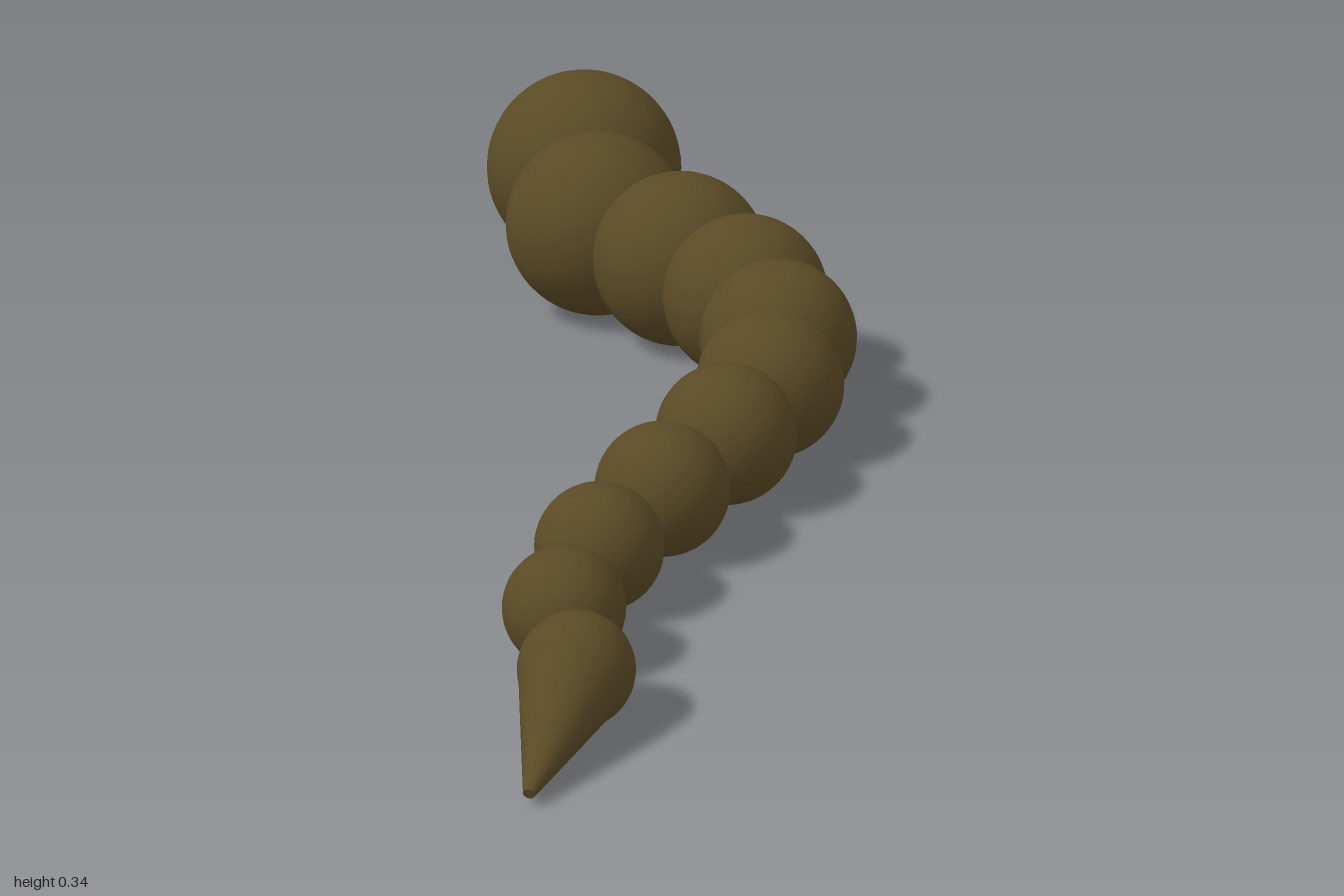
import * as THREE from 'three';

export function createModel() {
  const model = new THREE.Group();
  model.name = 'snake';

  const scales = new THREE.MeshStandardMaterial({ color: 0x5a4a26 });
  scales.name = 'brown scales';
  const red = new THREE.MeshStandardMaterial({ color: 0x8b1e1a });
  red.name = 'tongue red';

  const add = (name, geometry, material, x, y, z, parent = model) => {
    const mesh = new THREE.Mesh(geometry, material);
    mesh.name = name;
    mesh.position.set(x, y, z);
    parent.add(mesh);
    return mesh;
  };
  const ball = (r) => new THREE.SphereGeometry(r, 40, 28);

  // Body: a winding chain of shrinking balls resting on the ground [x, z, radius]
  const body = new THREE.Group();
  body.name = 'body';
  model.add(body);
  [
    [-0.022, -0.583, 0.147],
    [0.087, -0.425, 0.136],
    [0.163, -0.27, 0.125],
    [0.185, -0.115, 0.115],
    [0.145, 0.04, 0.105],
    [0.057, 0.195, 0.097],
    [-0.053, 0.35, 0.089],
    [-0.155, 0.503, 0.082],
    [-0.217, 0.657, 0.075],
    [-0.22, 0.81, 0.069],
  ].forEach(([x, z, r], i) => add(`bodySegment${i + 1}`, ball(r), scales, x, r + 0.002, z, body));

  // Tail: a cone pointing down and outwards
  const base = new THREE.Vector3(-0.233, 0.066, 0.845);
  const tip = new THREE.Vector3(-0.295, 0.017, 0.997);
  const axis = tip.clone().sub(base);
  const middle = base.clone().add(tip).multiplyScalar(0.5);
  const tail = add('tailTip', new THREE.CylinderGeometry(0.007, 0.06, axis.length(), 32),
    scales, middle.x, middle.y, middle.z);
  tail.quaternion.setFromUnitVectors(new THREE.Vector3(0, 1, 0), axis.normalize());

  // Head, facing -z
  const head = new THREE.Group();
  head.name = 'head';
  head.position.set(-0.022, 0.187, -0.765);
  model.add(head);
  add('skull', ball(0.16), scales, 0, 0, 0, head);
  add('lowerJaw', new THREE.BoxGeometry(0.175, 0.037, 0.145), scales, 0, -0.082, -0.0925, head);
  for (const side of [-1, 1]) {
    add(side > 0 ? 'leftEye' : 'rightEye', new THREE.SphereGeometry(0.021, 20, 14),
      scales, side * 0.08, 0.065, -0.115, head);
  }
  add('tongue', new THREE.BoxGeometry(0.01, 0.007, 0.12), red, 0, -0.023, -0.175, head);

  return model;
}
